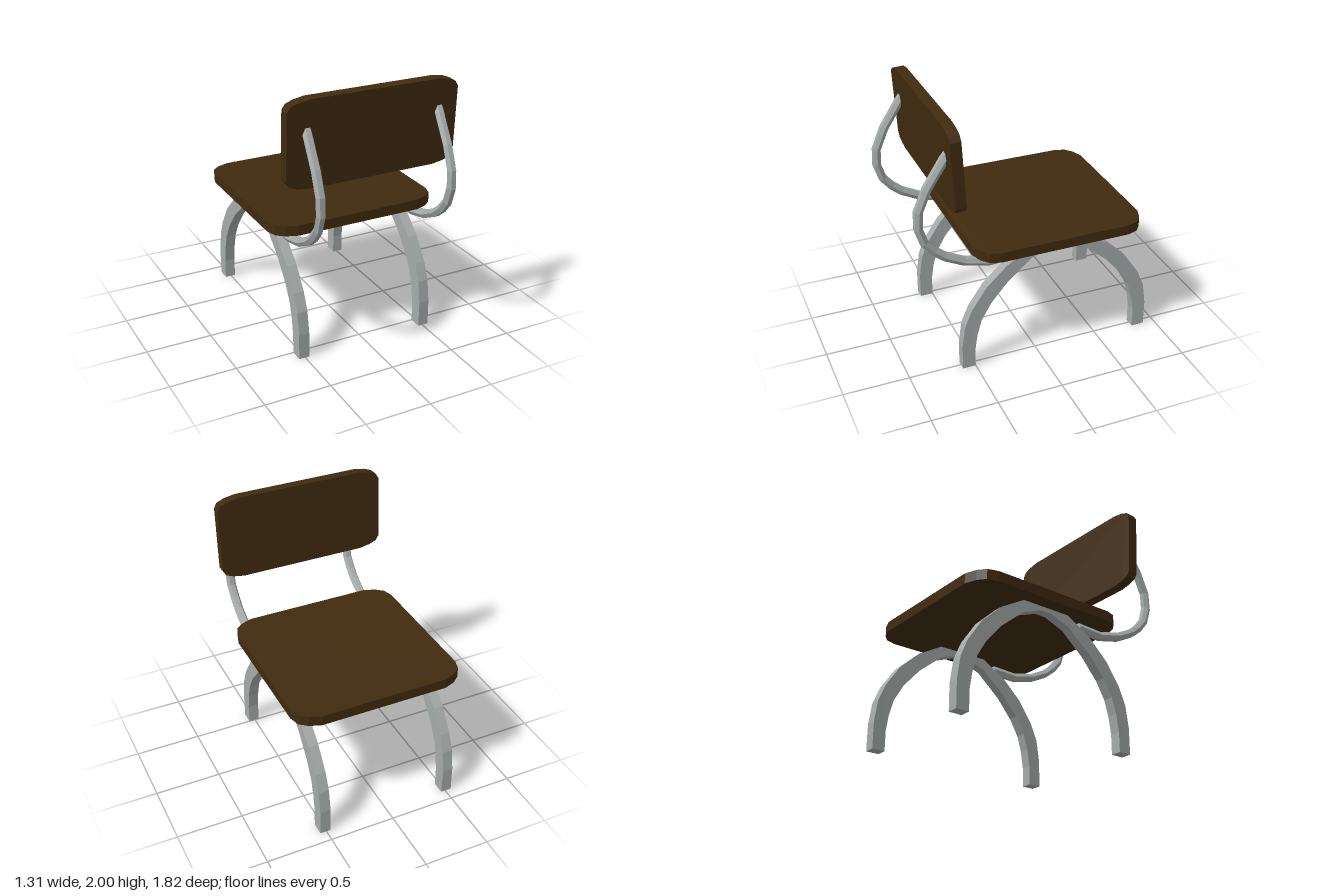
import * as THREE from 'three';

const wood = new THREE.MeshStandardMaterial({ color: 0x402b0f });
wood.name = 'darkWood';
const metal = new THREE.MeshStandardMaterial({ color: 0xa6abaa });
metal.name = 'greyMetal';

function mesh(name, geometry, material) {
  const m = new THREE.Mesh(geometry, material);
  m.name = name;
  return m;
}

// Board with softly faceted corners, centred on the origin, facing z
function board(width, height, depth, cornerX, cornerY) {
  const corner = [[0, 1], [0.14, 0.5], [0.48, 0.2], [1, 0]];
  const points = [];
  for (const [sx, sy] of [[1, 1], [-1, 1], [-1, -1], [1, -1]]) {
    const run = corner.map(([u, v]) => new THREE.Vector2(
      sx * (width / 2 - u * cornerX), sy * (height / 2 - v * cornerY)));
    points.push(...(sx * sy > 0 ? run : run.reverse()));
  }
  const g = new THREE.ExtrudeGeometry(new THREE.Shape(points), { depth, bevelEnabled: false });
  return g.translate(0, 0, -depth / 2);
}

// Arched leg pair: half outlines as [distance from arch centre, height]
function archGeometry() {
  const outer = [[0.755, 0], [0.755, 0.2], [0.73, 0.37], [0.675, 0.5], [0.56, 0.67],
    [0.4, 0.82], [0.2, 0.935], [0.1, 0.955]];
  const inner = [[0.655, 0], [0.655, 0.15], [0.635, 0.28], [0.6, 0.4], [0.525, 0.53],
    [0.395, 0.68], [0.205, 0.84], [0.045, 0.9]];
  const mirror = (list) => list.map(([d, y]) => [-d, y]).reverse();
  const outline = [...outer, ...mirror(outer), ...mirror(inner).reverse(), ...inner.slice().reverse()];
  const shape = new THREE.Shape(outline.map(([d, y]) => new THREE.Vector2(d - 0.155, y)));
  const g = new THREE.ExtrudeGeometry(shape, { depth: 0.082, bevelEnabled: false });
  g.translate(0, 0, -0.041).rotateY(-Math.PI / 2);
  // Slight narrowing towards the top
  const p = g.attributes.position;
  for (let i = 0; i < p.count; i++) p.setX(i, p.getX(i) * (1 - 0.16 * p.getY(i) ** 2));
  g.computeVertexNormals();
  return g;
}

// Six-sided capped bar swept along a bent path
function armGeometry() {
  const path = [[0.002, 0.885, 0.165], [0.004, 0.877, 0.38], [0.002, 0.92, 0.56], [0, 0.99, 0.7],
    [-0.002, 1.05, 0.775], [-0.002, 1.13, 0.842], [-0.002, 1.25, 0.881], [-0.002, 1.38, 0.876],
    [0, 1.545, 0.808], [0.005, 1.745, 0.682], [0.008, 1.8, 0.64]].map((p) => new THREE.Vector3(...p));
  const sides = 6, last = path.length - 1;
  const rings = path.map((p, i) => {
    const t = path[Math.min(i + 1, last)].clone().sub(path[Math.max(i - 1, 0)]).normalize();
    const across = new THREE.Vector3(1, 0, 0);
    const normal = new THREE.Vector3().crossVectors(t, across).normalize();
    return Array.from({ length: sides }, (_, k) => {
      const a = (k / sides) * Math.PI * 2;
      return p.clone().addScaledVector(across, 0.036 * Math.cos(a))
        .addScaledVector(normal, 0.035 * Math.sin(a));
    });
  });
  const tris = [];
  for (let k = 0; k < sides; k++) {
    const n = (k + 1) % sides;
    for (let i = 0; i < last; i++) {
      const [a, b, c, d] = [rings[i][k], rings[i][n], rings[i + 1][n], rings[i + 1][k]];
      tris.push(a, c, b, a, d, c);
    }
    tris.push(path[0], rings[0][k], rings[0][n], path[last], rings[last][n], rings[last][k]);
  }
  // Across, normal and tangent form a left-handed set, so triangles are checked for outward winding
  const g = new THREE.BufferGeometry();
  const first = tris.slice(0, 3);
  const face = new THREE.Vector3().crossVectors(
    first[1].clone().sub(first[0]), first[2].clone().sub(first[0]));
  const outward = first[0].clone().add(first[1]).add(first[2]).divideScalar(3)
    .sub(path[0].clone().add(path[1]).multiplyScalar(0.5));
  if (face.dot(outward) < 0) {
    for (let i = 0; i < tris.length; i += 3) [tris[i + 1], tris[i + 2]] = [tris[i + 2], tris[i + 1]];
  }
  g.setFromPoints(tris);
  g.computeVertexNormals();
  return g;
}

export function createModel() {
  const chair = new THREE.Group();
  chair.name = 'chair';

  // Seat
  const seat = mesh('seat', board(1.312, 1.315, 0.077, 0.17, 0.16).rotateX(-Math.PI / 2), wood);
  seat.position.set(0, 0.973, -0.167);
  chair.add(seat);

  // Backrest, leaning outwards at the top
  const back = mesh('backrest', board(1.312, 0.642, 0.08, 0.165, 0.075), wood);
  back.position.set(0, 1.677, 0.632);
  back.rotation.x = 0.055;
  chair.add(back);

  // Arched legs and backrest supports on both sides
  const arch = archGeometry(), arm = armGeometry();
  for (const [side, s] of [['left', 1], ['right', -1]]) {
    const legs = mesh(side + 'ArchedLegs', arch, metal);
    legs.position.x = s * 0.507;
    const support = mesh(side + 'BackSupport', arm, metal);
    support.position.x = s * 0.51;
    chair.add(legs, support);
  }
  return chair;
}
